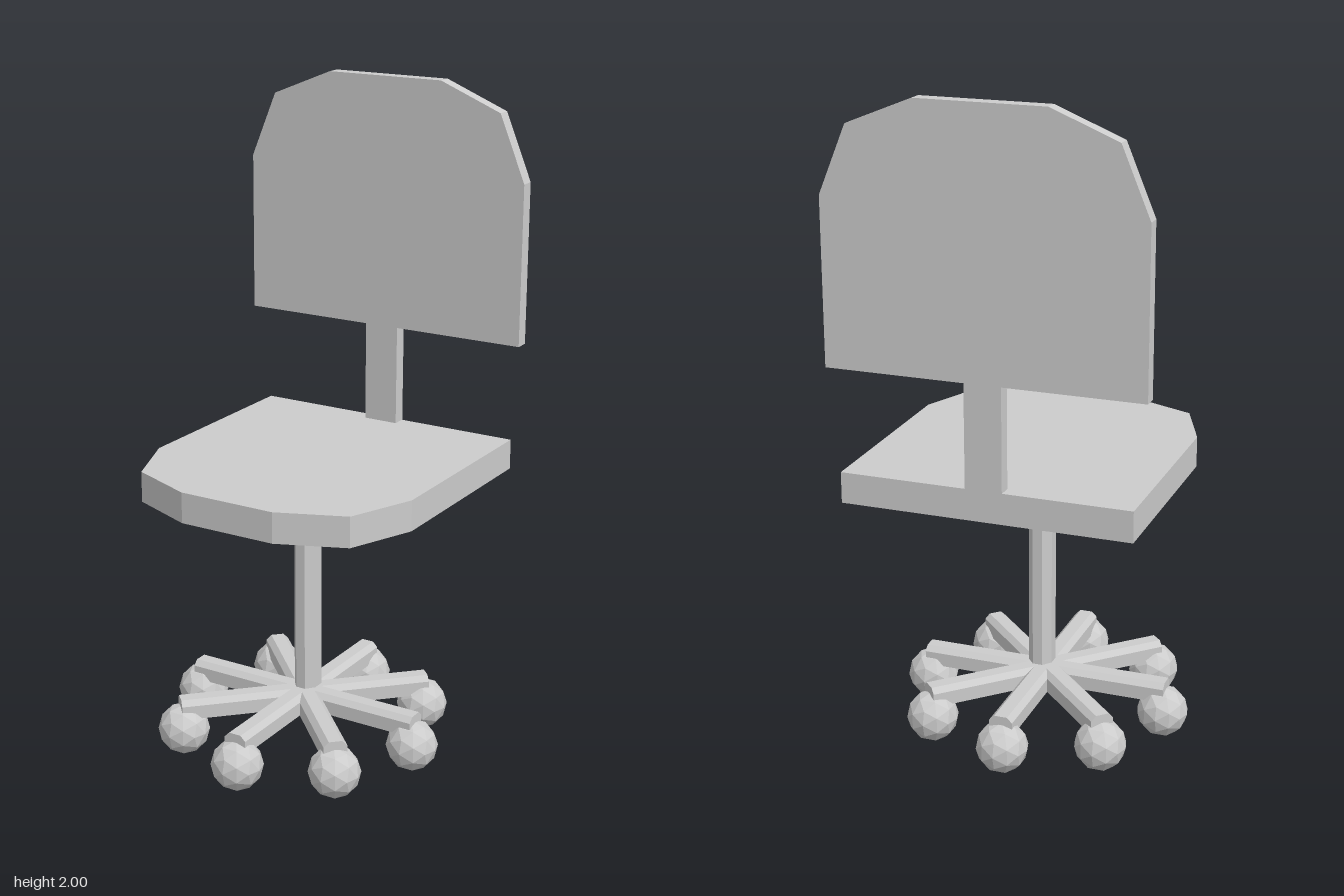
import * as THREE from 'three';
import { ConvexGeometry } from 'three/addons/geometries/ConvexGeometry.js';

const material = new THREE.MeshStandardMaterial({ color: 0xcccccc, flatShading: true });

function part(name, geometry, parent) {
  const mesh = new THREE.Mesh(geometry, material);
  mesh.name = name;
  parent.add(mesh);
  return mesh;
}

// Mirrors the right half of an outline about x = 0
function symmetric(half) {
  return [...half, ...half.map(([x, y]) => [-x, y]).reverse()].map(([x, y]) => new THREE.Vector2(x, y));
}

function slab(points, depth) {
  return new THREE.ExtrudeGeometry(new THREE.Shape(points), { depth, bevelEnabled: false });
}

export function createModel() {
  const chair = new THREE.Group();
  chair.name = 'swivelChair';

  // Backrest and its post, cut from one panel
  const back = symmetric([[0.055, 0.9], [0.055, 1.23], [0.47, 1.23], [0.47, 1.72], [0.387, 1.92], [0.19, 2]]);
  part('backrest', slab(back, 0.043), chair).position.z = -0.47;

  // Seat: outline in x and -z, extruded upward
  const rim = [[0.435, 0.425], [0.435, -0.16], [0.353, -0.362], [0.152, -0.445]];
  const seatOutline = symmetric([[0.435, 0.468], ...rim.slice(1)]);
  const seat = part('seat', slab(seatOutline, 0.093), chair);
  seat.rotation.x = -Math.PI / 2;
  seat.position.y = 0.828;

  // Tapered underside, from the seat rim to the column
  const hull = symmetric(rim).map((p) => new THREE.Vector3(p.x, 0.828, -p.y));
  for (let i = 0; i < 8; i++) {
    const a = ((i + 0.5) * Math.PI) / 4;
    hull.push(new THREE.Vector3(0.04 * Math.cos(a), 0.73, 0.008 + 0.048 * Math.sin(a)));
  }
  part('seatUnderside', new ConvexGeometry(hull), chair);

  // Column
  const column = part('column', new THREE.CylinderGeometry(1, 1, 0.55, 8).rotateY(Math.PI / 8), chair);
  column.scale.set(0.04, 1, 0.048);
  column.position.set(0, 0.465, 0.008);

  // Star base: eight chamfered arms, each with a ball caster
  const base = new THREE.Group();
  base.name = 'starBase';
  base.position.set(-0.01, 0, 0.012);
  chair.add(base);
  const armProfile = symmetric([[0.036, 0.122], [0.036, 0.165], [0.02, 0.181]]);
  const armGeometry = slab(armProfile, 0.39);
  const ballGeometry = new THREE.IcosahedronGeometry(0.079, 1);
  for (let i = 0; i < 8; i++) {
    const leg = new THREE.Group();
    leg.name = 'leg' + (i + 1);
    leg.rotation.y = (i * Math.PI) / 4;
    base.add(leg);
    part('arm', armGeometry, leg);
    const ball = part('caster', ballGeometry, leg);
    ball.position.set(0, 0.079, 0.379);
    ball.rotation.y = -leg.rotation.y;
  }
  return chair;
}
